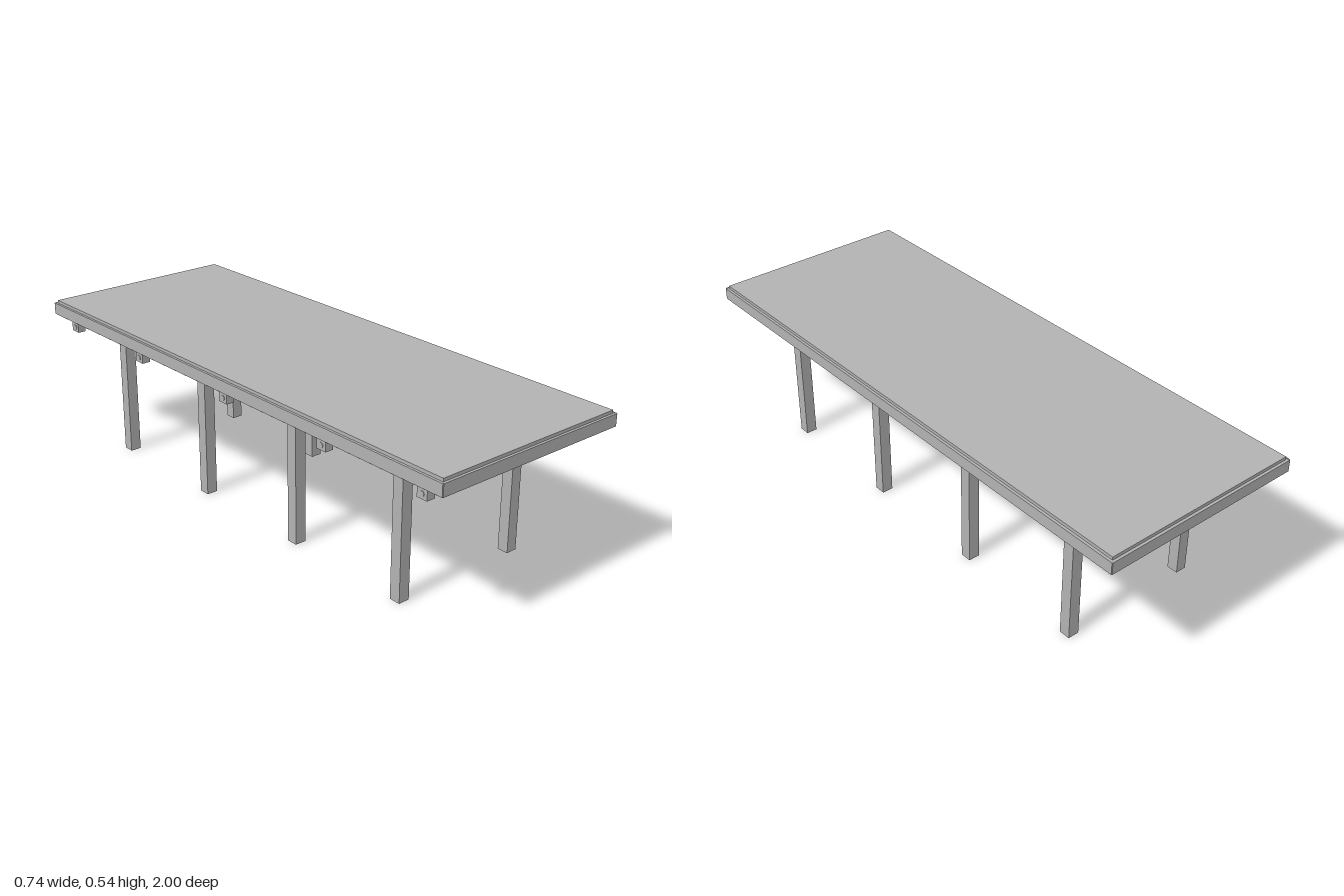
import * as THREE from 'three';

export function createModel() {
  const model = new THREE.Group();
  const grey = new THREE.MeshStandardMaterial({ color: 0xb2b2b2 });
  grey.name = 'plain grey';

  const add = (name, geometry, x, y, z) => {
    const mesh = new THREE.Mesh(geometry, grey);
    mesh.name = name;
    mesh.position.set(x, y, z);
    model.add(mesh);
    return mesh;
  };
  // Box given by half width, bottom, top and half length
  const slab = (name, hx, y0, y1, hz) =>
    add(name, new THREE.BoxGeometry(hx * 2, y1 - y0, hz * 2), 0, (y0 + y1) / 2, 0);

  // Canopy: stepped layers from the ceiling up to the roof
  slab('ceilingPanel', 0.354, 0.477, 0.481, 0.984);
  slab('ceilingTrim', 0.36, 0.481, 0.489, 0.99);
  slab('canopyCore', 0.368, 0.489, 0.529, 0.998);
  slab('roofPanel', 0.36, 0.529, 0.54, 0.99);

  // Fascia boards around the edge
  for (const s of [-1, 1]) {
    add('sideFascia', new THREE.BoxGeometry(0.004, 0.042, 1.996), s * 0.368, 0.509, 0);
    add('endFascia', new THREE.BoxGeometry(0.736, 0.042, 0.004), 0, 0.509, s * 0.998);
  }

  // Two rows of square columns, with a pair of downlights on the right row
  const column = new THREE.BoxGeometry(0.04, 0.478, 0.04);
  const downlight = new THREE.CylinderGeometry(0.012, 0.012, 0.01, 16);
  for (const z of [-0.72, -0.24, 0.24, 0.72]) {
    for (const x of [-0.24, 0.24]) add('column', column, x, 0.239, z);
    for (const s of [-1, 1]) add('downlight', downlight, -0.24, 0.467, z + s * 0.031);
  }

  // Camera boxes under the right edge, each with a lens on its outer face
  const box = new THREE.BoxGeometry(0.03, 0.034, 0.04);
  const lens = new THREE.CylinderGeometry(0.009, 0.009, 0.003, 16).rotateZ(Math.PI / 2);
  for (const z of [-0.9, -0.48, 0, 0.48, 0.9]) {
    add('cameraBox', box, -0.331, 0.456, z);
    add('cameraLens', lens, -0.3465, 0.456, z);
  }
  return model;
}
